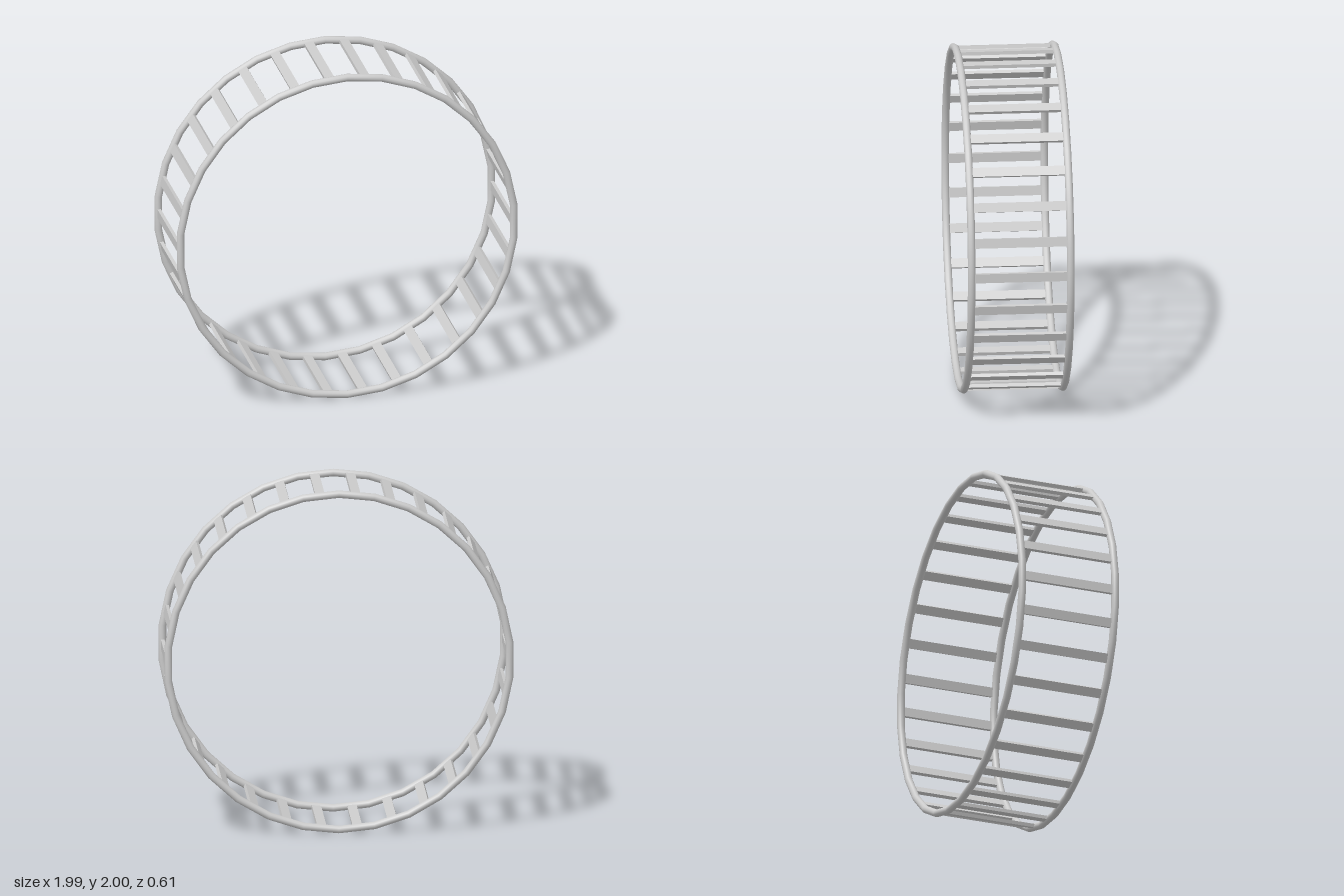
import * as THREE from 'three';

export function createModel() {
  const model = new THREE.Group();
  model.name = 'slattedWheel';
  const material = new THREE.MeshStandardMaterial({ color: 0xcccccc });

  const count = 30;          // ring segments, one slat per segment
  const tube = 0.022;
  const ringRadius = 1 - tube;
  const ringZ = 0.283;

  // Front and back rims, turned so a corner sits at the very top
  const rimGeometry = new THREE.TorusGeometry(ringRadius, tube, 12, count);
  rimGeometry.rotateZ(Math.PI / 2);
  for (const side of [1, -1]) {
    const rim = new THREE.Mesh(rimGeometry, material);
    rim.name = side > 0 ? 'frontRim' : 'backRim';
    rim.position.set(0, 1, side * ringZ);
    model.add(rim);
  }

  // Flat slats bridging the rims at the middle of every segment
  const slats = new THREE.Group();
  slats.name = 'slats';
  slats.position.y = 1;
  const slatGeometry = new THREE.BoxGeometry(0.02, 0.054, ringZ * 2);
  slatGeometry.translate(0.973, -0.005, 0);
  for (let i = 0; i < count; i++) {
    const slat = new THREE.Mesh(slatGeometry, material);
    slat.name = 'slat';
    slat.rotation.z = (i / count) * Math.PI * 2;
    slats.add(slat);
  }
  model.add(slats);

  return model;
}
